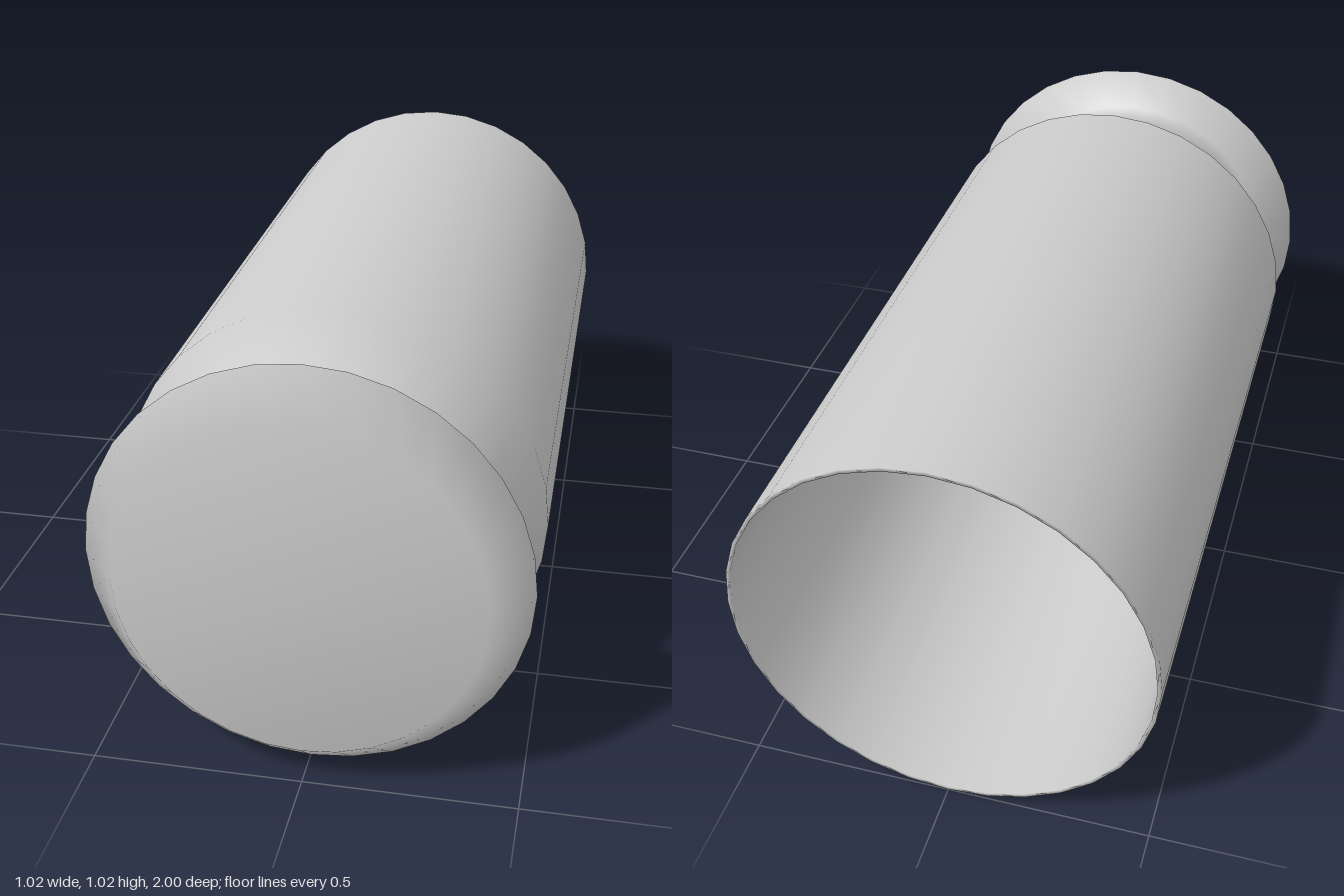
import * as THREE from 'three';

const RADIUS = 0.51;

// Half profile as [radius, z], from the inner floor, round the mouth, to the head.
const PROFILE = [
  [0, 0.8], [0.37, 0.8],          // inner floor
  [0.5, 0.59], [0.5, -1],         // inner shoulder and bore
  [RADIUS, -1], [RADIUS, 0.61],   // mouth lip and outer wall
  [0.39, 0.82], [0.39, 0.905],    // tapered shoulder and groove
  [RADIUS, 0.905],                // back of the flange
  [0.42, 1], [0, 1],              // bevelled flange and flat head
];

export function createModel() {
  const group = new THREE.Group();
  group.name = 'hollowCasing';

  // One smooth turned body, laid along z with the head to the front
  const points = PROFILE.map(([r, z]) => new THREE.Vector2(r, z));
  const geometry = new THREE.LatheGeometry(points, 32);
  geometry.rotateX(Math.PI / 2);
  const casing = new THREE.Mesh(geometry, new THREE.MeshStandardMaterial({ color: 0xcccccc }));
  casing.name = 'casing';
  casing.position.y = RADIUS;
  group.add(casing);

  return group;
}
